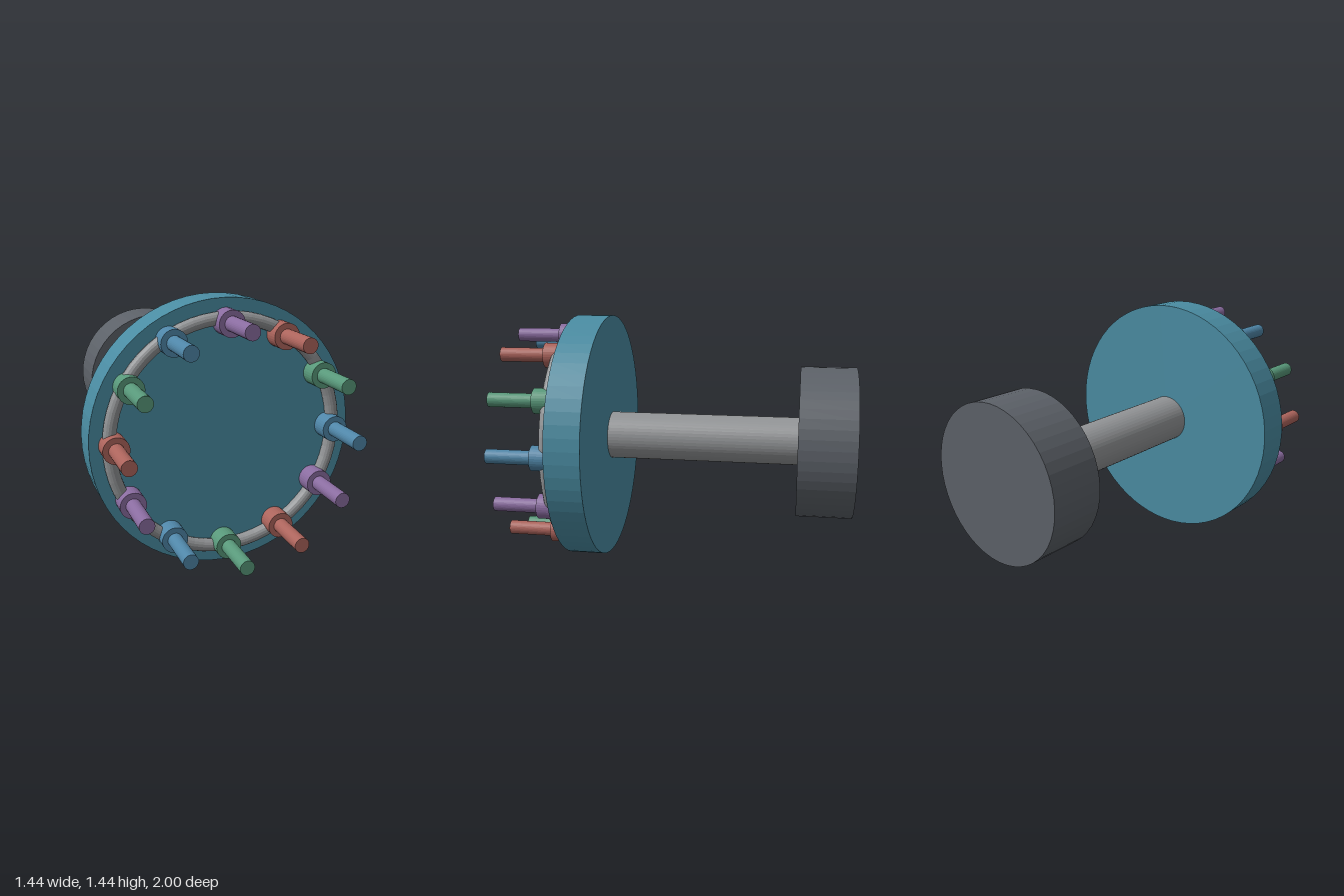
import * as THREE from 'three';

const AXIS_Y = 0.72; // height of the main axis

function material(color) {
  return new THREE.MeshStandardMaterial({ color, flatShading: true });
}

// Cylinder lying along z, from z0 (back) to z1 (front)
function rod(name, radius, z0, z1, mat, sides) {
  const geometry = new THREE.CylinderGeometry(radius, radius, z1 - z0, sides);
  geometry.rotateX(Math.PI / 2);
  const mesh = new THREE.Mesh(geometry, mat);
  mesh.name = name;
  mesh.position.z = (z0 + z1) / 2;
  return mesh;
}

export function createModel() {
  const model = new THREE.Group();
  model.name = 'pinWheelAssembly';
  const body = new THREE.Group();
  body.name = 'body';
  body.position.y = AXIS_Y;
  model.add(body);

  const steel = material(0x929496);

  // Rear weight, shaft and front plate
  body.add(rod('rearHub', 0.44, -1, -0.68, material(0x5c6168), 48));
  body.add(rod('shaft', 0.14, -0.68, 0.44, steel, 48));
  body.add(rod('frontPlate', 0.72, 0.44, 0.64, material(0x4a8ca2), 64));

  // Ring running through the pin sockets
  const ring = new THREE.Mesh(new THREE.TorusGeometry(0.62, 0.035, 16, 64), steel);
  ring.name = 'retainingRing';
  ring.position.z = 0.66;
  body.add(ring);

  // Twelve pins, colours repeating counter-clockwise from +x
  const colors = [0x4f86a8, 0x58987a, 0xac645c, 0x8a6ca0].map(material);
  for (let i = 0; i < 12; i++) {
    const angle = (i * Math.PI) / 6;
    const mat = colors[i % 4];
    const pin = new THREE.Group();
    pin.name = `pin${i + 1}`;
    pin.position.set(0.6 * Math.cos(angle), 0.6 * Math.sin(angle), 0);
    pin.add(rod('socket', 0.07, 0.64, 0.74, mat, 32));
    pin.add(rod('peg', 0.04, 0.74, 1, mat, 32));
    body.add(pin);
  }

  return model;
}
